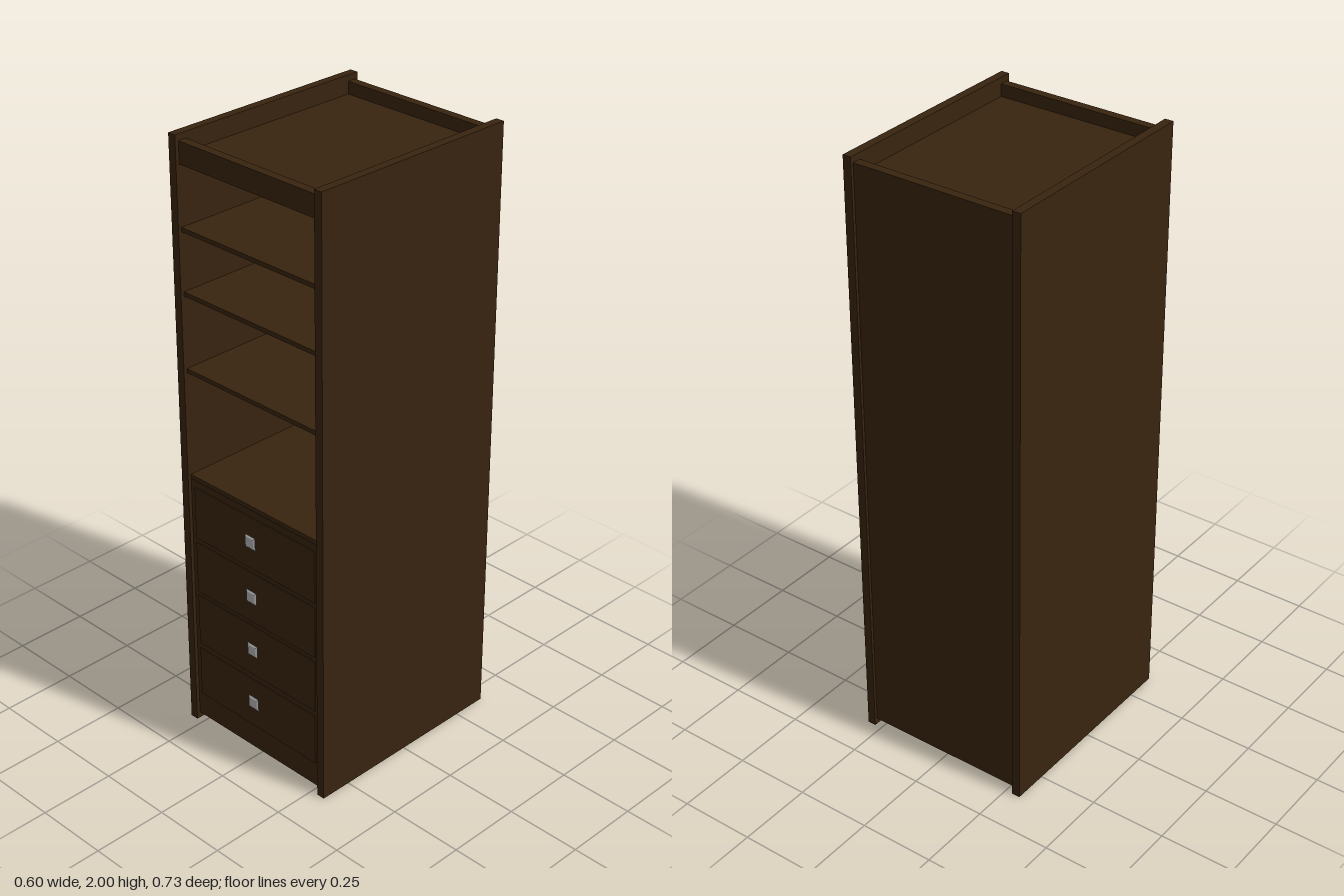
import * as THREE from 'three';

const wood = new THREE.MeshStandardMaterial({ color: 0x38240f });
wood.name = 'dark wood';
const metal = new THREE.MeshStandardMaterial({ color: 0xb0b0b0 });
metal.name = 'brushed metal';

// Box given by its minimum and maximum on each axis
function board(name, [x0, x1], [y0, y1], [z0, z1], material = wood) {
  const mesh = new THREE.Mesh(new THREE.BoxGeometry(x1 - x0, y1 - y0, z1 - z0), material);
  mesh.position.set((x0 + x1) / 2, (y0 + y1) / 2, (z0 + z1) / 2);
  mesh.name = name;
  return mesh;
}

// Square knob: slim stem with a tapered plate
function makeKnob(y, z) {
  const knob = new THREE.Group();
  knob.name = 'knob';
  knob.add(board('knobStem', [-0.008, 0.008], [-0.008, 0.008], [0, 0.013], metal));
  const plateShape = new THREE.CylinderGeometry(0.016 * Math.SQRT2, 0.022 * Math.SQRT2, 0.004, 4).toNonIndexed();
  plateShape.rotateY(Math.PI / 4).rotateX(Math.PI / 2);
  plateShape.computeVertexNormals();
  const plate = new THREE.Mesh(plateShape, metal);
  plate.name = 'knobPlate';
  plate.position.z = 0.015;
  knob.add(plate);
  knob.position.set(0, y, z);
  return knob;
}

export function createModel() {
  const cabinet = new THREE.Group();
  cabinet.name = 'cabinet';
  const inner = [-0.274, 0.274];
  const front = 0.345;
  const rail = [0.317, front];
  const inside = [-0.329, 0.317];

  // Carcass
  cabinet.add(
    board('leftSide', [0.274, 0.302], [0, 2], [-0.367, 0.357]),
    board('rightSide', [-0.302, -0.274], [0, 2], [-0.367, 0.357]),
    board('backPanel', inner, [0.021, 1.98], [-0.357, -0.329]),
    board('topPanel', inner, [1.91, 1.94], inside),
    board('bottomPanel', inner, [0.06, 0.09], inside),
    board('topRail', inner, [1.91, 1.98], rail),
    board('bottomRail', inner, [0.021, 0.092], rail),
    board('drawerFrame', inner, [0.092, 0.892], rail)
  );

  // Shelves
  for (const top of [0.907, 1.267, 1.516, 1.718]) {
    cabinet.add(board('shelf', inner, [top - 0.014, top], [-0.329, front]));
  }

  // Drawers
  for (const [bottom, top] of [[0.106, 0.281], [0.301, 0.481], [0.496, 0.674], [0.69, 0.869]]) {
    const drawer = new THREE.Group();
    drawer.name = 'drawer';
    drawer.add(
      board('drawerFront', [-0.257, 0.257], [bottom, top], [front, 0.348]),
      makeKnob((bottom + top) / 2 + 0.013, 0.348)
    );
    cabinet.add(drawer);
  }
  return cabinet;
}
